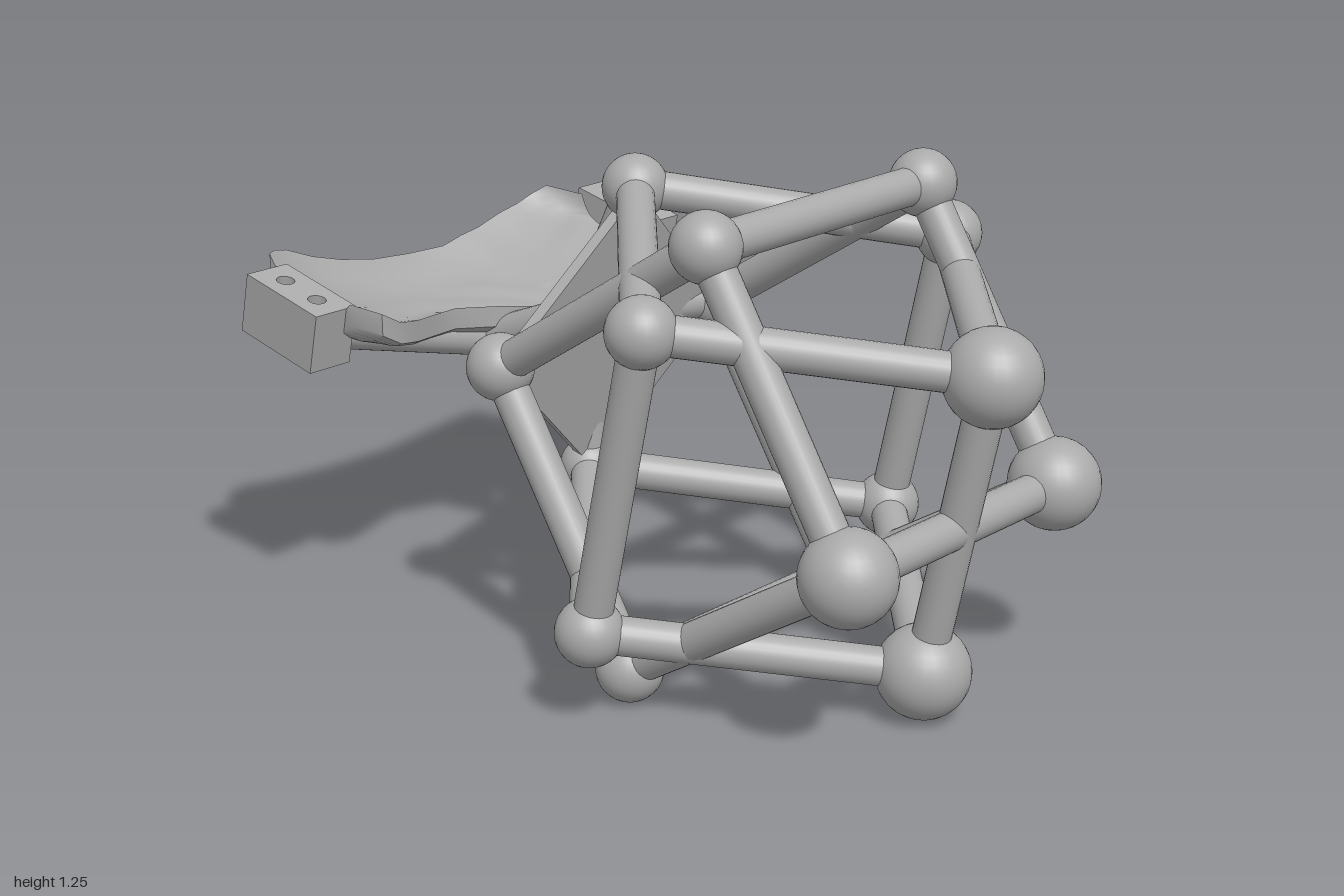
import * as THREE from 'three';
import { toCreasedNormals } from 'three/addons/utils/BufferGeometryUtils.js';

const grey = new THREE.MeshStandardMaterial({ color: 0xaaaaaa, side: THREE.DoubleSide });
grey.name = 'plain grey';

const TILT = 0.22; // the whole frame leans by this angle
const v = (x, y, z) => new THREE.Vector3(x, y, z);

function add(parent, name, geometry) {
  const mesh = new THREE.Mesh(geometry, grey);
  mesh.name = name;
  parent.add(mesh);
  return mesh;
}

function ball(parent, name, p, r) {
  add(parent, name, new THREE.SphereGeometry(r, 28, 18)).position.copy(p);
}

function rod(parent, name, a, b, r = 0.047) {
  const d = b.clone().sub(a);
  const mesh = add(parent, name, new THREE.CylinderGeometry(r, r, d.length(), 24));
  mesh.position.copy(a).addScaledVector(d, 0.5);
  mesh.quaternion.setFromUnitVectors(v(0, 1, 0), d.normalize());
}

// Curved shell lofted through cross-sections [x, zFront, zBack]
function shellGeometry() {
  const sections = [
    [-0.55, -0.63, -0.93], [-0.51, -0.56, -0.96], [-0.45, -0.56, -0.99], [-0.36, -0.6, -0.995],
    [-0.27, -0.64, -0.995], [-0.16, -0.68, -0.995], [-0.03, -0.65, -0.995], [0.09, -0.57, -0.995],
    [0.16, -0.42, -0.995], [0.22, -0.38, -0.995], [0.3, -0.36, -0.995], [0.37, -0.39, -0.995],
    [0.42, -0.48, -0.99], [0.46, -0.58, -0.97], [0.49, -0.72, -0.86],
  ];
  const n = 20, m = 2 * (n + 1), pos = [], idx = [];
  for (const [x, zf, zb] of sections) {
    const row = [];
    for (let j = 0; j <= n; j++) {
      const t = j / n, z = zf + (zb - zf) * t;
      const sag = 0.13 * Math.max(0, 1 - (x / 0.52) ** 2);
      const rim = 0.05 * Math.abs(2 * t - 1) ** 4;
      const bump = 0.006 * Math.sin(x * 31 + z * 17) * Math.cos(z * 37 - x * 11);
      row.push([x, 0.85 - 0.22 * (z + 0.79) - sag + rim + bump, z]);
    }
    row.forEach(p => pos.push(...p));
    row.reverse().forEach(([px, py, pz]) => pos.push(px, py - 0.055, pz));
  }
  for (let i = 0; i < sections.length - 1; i++) {
    for (let j = 0; j < m; j++) {
      const a = i * m + j, b = i * m + (j + 1) % m;
      idx.push(a, a + m, b, b, a + m, b + m);
    }
  }
  // end caps
  const e = (sections.length - 1) * m;
  for (let j = 0; j < n; j++) {
    const a = j, b = j + 1, c = m - 1 - j, d = m - 2 - j;
    idx.push(a, b, c, b, d, c, e + a, e + c, e + b, e + b, e + c, e + d);
  }
  const g = new THREE.BufferGeometry();
  g.setAttribute('position', new THREE.Float32BufferAttribute(pos, 3));
  g.setIndex(idx);
  return toCreasedNormals(g, 0.8);
}

// Block with two screw holes through its height
function bracketGeometry() {
  const w = 0.0625, l = 0.132, h = 0.155;
  const shape = new THREE.Shape([[-w, -l], [w, -l], [w, l], [-w, l]].map(p => new THREE.Vector2(...p)));
  for (const y of [-0.06, 0.06]) {
    shape.holes.push(new THREE.Path().absarc(0, y, 0.023, 0, Math.PI * 2, true));
  }
  return new THREE.ExtrudeGeometry(shape, { depth: h, bevelEnabled: false, curveSegments: 8 })
    .translate(0, 0, -h / 2).rotateX(-Math.PI / 2);
}

export function createModel() {
  const model = new THREE.Group();
  model.name = 'trackingFrame';

  // Centre-line joints
  const frontTop = v(0, 0.88, 0.885), frontBottom = v(0, 0.12, 0.72);
  const backTop = v(0, 1.13, -0.195), backBottom = v(0, 0.365, -0.365);
  const hub = v(0, 0.77, -0.375), fork = v(0, 0.63, -0.72);
  ball(model, 'frontTopMarker', frontTop, 0.115);
  ball(model, 'frontBottomMarker', frontBottom, 0.115);
  ball(model, 'backTopJoint', backTop, 0.082);
  ball(model, 'backBottomJoint', backBottom, 0.075);
  ball(model, 'hub', hub, 0.075);
  rod(model, 'frontPost', frontTop, frontBottom);
  rod(model, 'upperBackStrut', backTop, hub);
  rod(model, 'lowerBackStrut', hub, backBottom);

  // Joints and rods mirrored on both sides
  const pairs = [[], []];
  [1, -1].forEach((s, k) => {
    const side = new THREE.Group();
    side.name = s > 0 ? 'leftFrame' : 'rightFrame';
    model.add(side);
    const mid = v(s * 0.39, 0.5, 0.8), top = v(s * 0.39, 1.165, 0.385);
    const bottom = v(s * 0.39, 0.085, 0.145), back = v(s * 0.39, 0.745, -0.275);
    const outerTop = v(s * 0.555, 1.0, 0.345), outerBottom = v(s * 0.555, 0.24, 0.175);
    pairs[k].push(top, mid, bottom, back);
    ball(side, 'frontMarker', mid, 0.113);
    for (const p of [top, bottom, back, outerTop, outerBottom]) ball(side, 'joint', p, 0.083);
    // square ring in the lengthwise plane
    rod(side, 'ringRod', top, mid);
    rod(side, 'ringRod', mid, bottom);
    rod(side, 'ringRod', bottom, back);
    rod(side, 'ringRod', back, top);
    // upper and lower diamonds
    rod(side, 'diamondRod', frontTop, outerTop);
    rod(side, 'diamondRod', outerTop, backTop);
    rod(side, 'diamondRod', frontBottom, outerBottom);
    rod(side, 'diamondRod', outerBottom, backBottom);
    rod(side, 'sidePost', outerTop, outerBottom);
    rod(side, 'hubRod', back, hub);
    // arm and bracket carrying the shell
    rod(side, 'bracketArm', fork, v(s * 0.55, 0.77, -0.78), 0.045);
    const bracket = add(side, 'bracket', bracketGeometry());
    bracket.position.set(s * 0.5825, 0.805, -0.79);
    bracket.rotation.x = TILT;
  });
  for (let i = 0; i < 3; i++) rod(model, 'crossRod', pairs[0][i], pairs[1][i]);

  // Diamond plate at the back of the frame
  const diamond = new THREE.Shape([[0, 0.39], [-0.39, 0], [0, -0.39], [0.39, 0]].map(p => new THREE.Vector2(...p)));
  const plate = add(model, 'backPlate', new THREE.ExtrudeGeometry(diamond, { depth: 0.03, bevelEnabled: false }));
  plate.position.set(0, 0.747, -0.295);
  plate.rotation.x = TILT;

  // Stem, fork and curved shell
  rod(model, 'stem', hub, fork, 0.053);
  ball(model, 'forkJoint', fork, 0.055);
  add(model, 'curvedShell', shellGeometry());
  return model;
}
